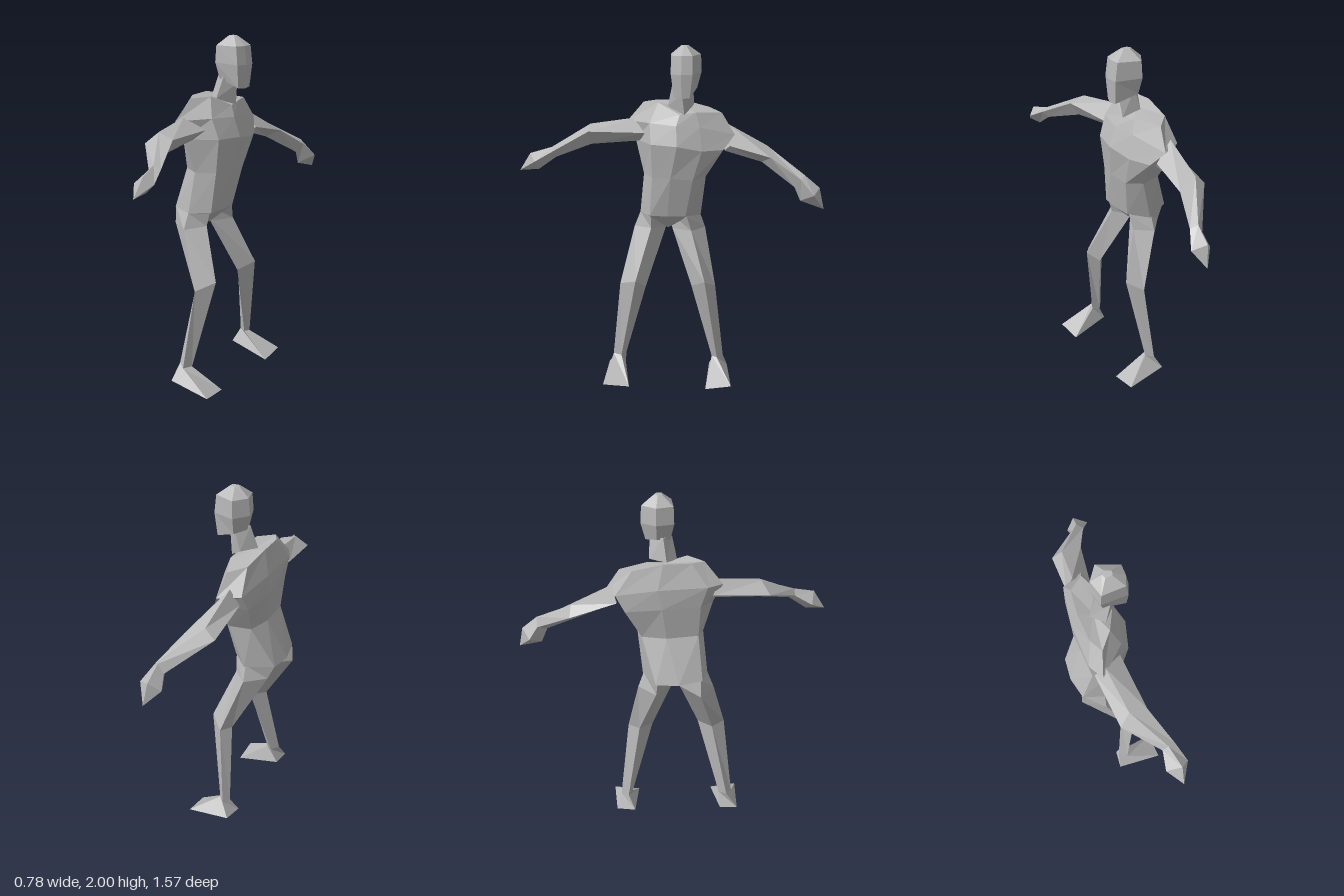
import * as THREE from 'three';

const skin = new THREE.MeshStandardMaterial({ color: 0xb8b8b8 });
skin.name = 'plain grey';

// Faceted skin over a stack of cross-sections, closed at both ends.
// A cross-section with a single point makes a pointed end.
function loft(name, rings) {
  const n = Math.max(...rings.map((r) => r.length));
  const loops = rings.map((r) =>
    Array.from({ length: n }, (_, i) => new THREE.Vector3(...r[i % r.length])));
  const tris = [];
  const add = (a, b, c) => {
    const area = b.clone().sub(a).cross(c.clone().sub(a)).length();
    if (area > 1e-7) tris.push([a, b, c]);
  };
  for (let k = 0; k + 1 < loops.length; k++) {
    for (let i = 0; i < n; i++) {
      const j = (i + 1) % n;
      const [a, b, c, d] = [loops[k][i], loops[k][j], loops[k + 1][j], loops[k + 1][i]];
      add(a, b, c);
      add(a, c, d);
    }
  }
  const centre = (loop) =>
    loop.reduce((s, p) => s.add(p), new THREE.Vector3()).divideScalar(n);
  const first = loops[0];
  const last = loops[loops.length - 1];
  const c0 = centre(first);
  const c1 = centre(last);
  for (let i = 0; i < n; i++) {
    const j = (i + 1) % n;
    add(c0, first[j], first[i]);
    add(c1, last[i], last[j]);
  }
  // Turn the faces outward whichever way the sections were stacked
  const volume = tris.reduce((v, [a, b, c]) => v + a.dot(b.clone().cross(c)), 0);
  const points = tris.flatMap(([a, b, c]) => (volume < 0 ? [a, c, b] : [a, b, c]));
  const geometry = new THREE.BufferGeometry().setFromPoints(points);
  geometry.computeVertexNormals();
  const mesh = new THREE.Mesh(geometry, skin);
  mesh.name = name;
  return mesh;
}

// Six-sided head section, turned to the direction of the gaze
function headRing([y, front, back, half, slope]) {
  const plan = [
    [front, 0], [front * 0.88, half * 0.68], [back * 0.55, half],
    [back, 0], [back * 0.55, -half], [front * 0.88, -half * 0.68],
  ];
  return plan.map(([f, s]) => [
    -0.015 + 0.84 * f - 0.54 * s,
    y + slope * (front - f),
    -0.085 + 0.54 * f + 0.84 * s,
  ]);
}

export function createModel() {
  const body = new THREE.Group();
  body.name = 'figure';

  // Torso, from crotch to collar
  body.add(loft('torso', [
    [[-0.15, 0.93, -0.04]],
    [[-0.24, 1.02, 0.1], [-0.11, 1.025, 0.09], [-0.06, 1.025, 0], [-0.025, 1.025, -0.1],
      [-0.08, 1.01, -0.22], [-0.25, 1.02, -0.22], [-0.31, 1.02, -0.11], [-0.335, 1.03, 0.02]],
    [[-0.2, 1.26, 0.09], [-0.08, 1.26, 0.085], [-0.01, 1.26, 0], [0.03, 1.25, -0.12],
      [0, 1.26, -0.215], [-0.12, 1.26, -0.24], [-0.2, 1.26, -0.13], [-0.26, 1.27, 0.03]],
    [[-0.25, 1.455, 0.12], [-0.06, 1.455, 0.1], [0.035, 1.45, -0.02], [0.065, 1.42, -0.16],
      [0.07, 1.42, -0.29], [-0.11, 1.42, -0.33], [-0.21, 1.44, -0.16], [-0.28, 1.45, 0.03]],
    [[-0.29, 1.56, 0.155], [-0.1, 1.57, 0.09], [0, 1.56, -0.03], [0.03, 1.55, -0.16],
      [0.05, 1.5, -0.37], [-0.08, 1.51, -0.37], [-0.2, 1.55, -0.18], [-0.3, 1.56, 0.06]],
    [[-0.22, 1.675, 0.08], [-0.12, 1.68, 0.03], [-0.02, 1.62, -0.06], [0, 1.63, -0.15],
      [0, 1.62, -0.31], [-0.1, 1.64, -0.28], [-0.18, 1.68, -0.14], [-0.23, 1.68, 0]],
  ]));

  // Neck and head
  body.add(loft('neck', [
    [[-0.1, 1.66, -0.02], [0, 1.62, -0.08], [-0.05, 1.67, -0.16], [-0.14, 1.67, -0.1]],
    [[-0.06, 1.78, -0.03], [0.01, 1.74, -0.06], [-0.02, 1.79, -0.14], [-0.1, 1.79, -0.1]],
  ]));
  body.add(loft('head', [
    [1.72, 0.09, -0.08, 0.065, 0.35],
    [1.85, 0.098, -0.1, 0.088, 0.05],
    [1.95, 0.085, -0.09, 0.084, 0],
    [2.0, 0.02, -0.03, 0.02, 0],
  ].map(headRing)));

  // Arms: each section runs top, front, bottom, back
  const rightWrist = [[-0.28, 1.44, 0.61], [-0.24, 1.42, 0.62], [-0.265, 1.385, 0.59], [-0.31, 1.41, 0.6]];
  body.add(loft('rightArm', [
    [[-0.25, 1.58, 0.13], [-0.13, 1.51, 0.11], [-0.2, 1.455, 0.11], [-0.3, 1.51, 0.1]],
    [[-0.32, 1.55, 0.37], [-0.235, 1.52, 0.41], [-0.28, 1.44, 0.38], [-0.392, 1.49, 0.385]],
    rightWrist,
  ]));
  body.add(loft('rightHand', [
    rightWrist,
    [[-0.3, 1.41, 0.73], [-0.247, 1.37, 0.72], [-0.3, 1.315, 0.685], [-0.363, 1.36, 0.68]],
    [[-0.335, 1.31, 0.785]],
  ]));
  const leftWrist = [[0.3, 1.29, -0.69], [0.32, 1.27, -0.655], [0.275, 1.22, -0.64], [0.27, 1.24, -0.7]];
  body.add(loft('leftArm', [
    [[-0.02, 1.55, -0.36], [0.07, 1.44, -0.33], [0.04, 1.41, -0.31], [-0.07, 1.46, -0.36]],
    [[0.08, 1.43, -0.56], [0.19, 1.38, -0.53], [0.1, 1.34, -0.52], [0.03, 1.38, -0.59]],
    leftWrist,
  ]));
  body.add(loft('leftHand', [
    leftWrist,
    [[0.34, 1.22, -0.765], [0.39, 1.19, -0.7], [0.285, 1.14, -0.675], [0.275, 1.17, -0.75]],
    [[0.365, 1.1, -0.783]],
  ]));

  // Legs: hip, thigh, knee and ankle sections, with wedge feet
  const rightAnkle = [[-0.24, 0.13, 0.285], [-0.195, 0.13, 0.25], [-0.22, 0.13, 0.21], [-0.27, 0.14, 0.235]];
  body.add(loft('rightLeg', [
    [[-0.24, 1.02, 0.1], [-0.12, 1.02, 0.08], [-0.15, 1.02, -0.05], [-0.335, 1.03, 0.01]],
    [[-0.26, 0.93, 0.13], [-0.14, 0.94, 0.07], [-0.18, 0.93, -0.04], [-0.34, 0.93, 0.01]],
    [[-0.17, 0.61, 0.257], [-0.06, 0.65, 0.2], [-0.09, 0.6, 0.125], [-0.185, 0.6, 0.17]],
    rightAnkle,
  ]));
  body.add(loft('rightFoot', [
    rightAnkle,
    [[-0.07, 0.02, 0.41], [-0.015, 0.005, 0.265], [-0.26, 0.04, 0.2], [-0.31, 0.045, 0.29]],
  ]));
  const leftAnkle = [[0.02, 0.13, -0.26], [0.05, 0.13, -0.28], [0.03, 0.13, -0.33], [-0.01, 0.13, -0.3]];
  body.add(loft('leftLeg', [
    [[-0.15, 1.02, -0.05], [-0.03, 1.02, -0.11], [-0.09, 1.02, -0.22], [-0.25, 1.02, -0.21]],
    [[-0.13, 0.93, -0.06], [-0.03, 0.93, -0.14], [-0.08, 0.93, -0.25], [-0.21, 0.93, -0.2]],
    [[0, 0.6, -0.13], [0.1, 0.65, -0.17], [0.05, 0.6, -0.262], [-0.015, 0.6, -0.22]],
    leftAnkle,
  ]));
  body.add(loft('leftFoot', [
    leftAnkle,
    [[0.175, 0, -0.15], [0.235, 0.02, -0.29], [0, 0.045, -0.373], [-0.06, 0.045, -0.28]],
  ]));

  return body;
}
